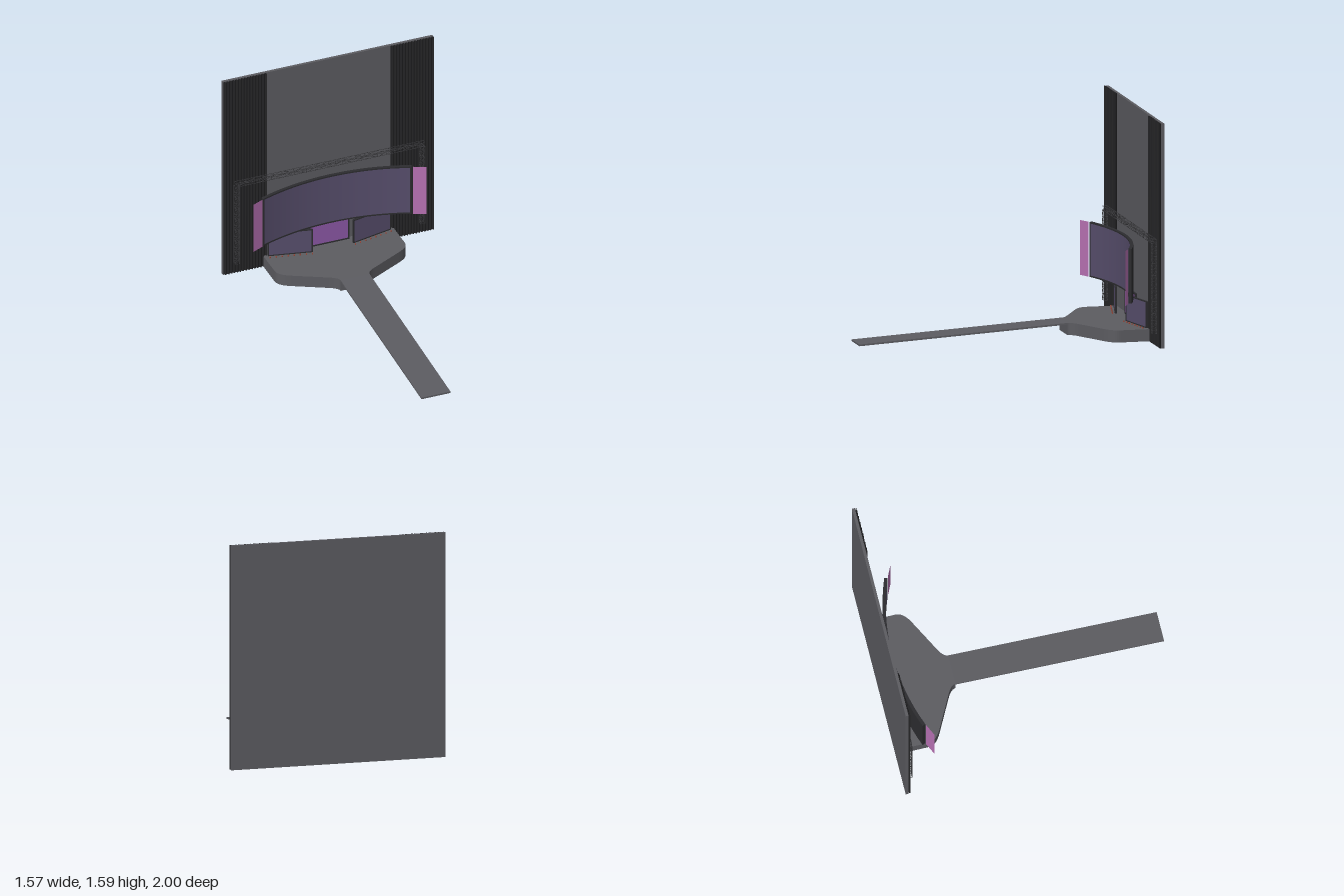
import * as THREE from 'three';
import { mergeGeometries } from 'three/addons/utils/BufferGeometryUtils.js';

const mat = (color, side = THREE.FrontSide) => new THREE.MeshStandardMaterial({ color, side });
const floorMat = mat(0x5c5c61), wallMat = mat(0x5c5c61), frameMat = mat(0x2c2c2f), trussMat = mat(0x3a3a3d);
const curtainMat = mat(0x232325, THREE.DoubleSide);
const screenMat = mat(0x574e6c), centreMat = mat(0x8c58a6), bannerMat = mat(0xb670b2, THREE.DoubleSide);
const lampMat = mat(0x9a4a3c);

function add(parent, name, geometry, material, x = 0, y = 0, z = 0) {
  const mesh = new THREE.Mesh(geometry, material);
  mesh.name = name;
  mesh.position.set(x, y, z);
  parent.add(mesh);
  return mesh;
}

// Plan outline (x, -z) raised from y0 to y1
function raise(shape, y0, y1, segments = 12) {
  return new THREE.ExtrudeGeometry(shape, { depth: y1 - y0, bevelEnabled: false, curveSegments: segments })
    .rotateX(-Math.PI / 2).translate(0, y0, 0);
}

// Curved wall slice between two radii, concave towards the front
function arcSlab(r0, r1, a0, a1, y0, y1) {
  const s = new THREE.Shape();
  s.absarc(0, -0.645, r1, Math.PI / 2 - a1, Math.PI / 2 - a0, false);
  s.absarc(0, -0.645, r0, Math.PI / 2 - a0, Math.PI / 2 - a1, true);
  return raise(s, y0, y1, 32);
}

// Flat framed screen, its front at z = 0
function flatScreen(name, w, h, material, border) {
  const g = new THREE.Group();
  g.name = name;
  add(g, 'screenFace', new THREE.BoxGeometry(w - border, h - border, 0.012), material, 0, 0, -0.009);
  for (const s of [-1, 1]) {
    add(g, 'frameSide', new THREE.BoxGeometry(border, h, 0.015), frameMat, s * (w - border) / 2, 0, -0.0075);
    add(g, 'frameRail', new THREE.BoxGeometry(w - 2 * border, border, 0.015), frameMat, 0, s * (h - border) / 2, -0.0075);
  }
  return g;
}

// Thin tube between two points
function strut(a, b, r) {
  const d = b.clone().sub(a);
  const q = new THREE.Quaternion().setFromUnitVectors(new THREE.Vector3(0, 1, 0), d.clone().normalize());
  const m = new THREE.Matrix4().compose(a.clone().add(b).multiplyScalar(0.5), q, new THREE.Vector3(1, 1, 1));
  return new THREE.CylinderGeometry(r, r, d.length(), 5).applyMatrix4(m);
}

// Square lattice truss along +y, starting at the origin
function truss(length, size, bays) {
  const parts = [], h = size / 2, step = length / bays;
  const corners = [[-h, -h], [h, -h], [h, h], [-h, h]];
  const at = (c, y) => new THREE.Vector3(corners[c % 4][0], y, corners[c % 4][1]);
  for (let c = 0; c < 4; c++) {
    parts.push(strut(at(c, 0), at(c, length), 0.0018));
    for (let i = 0; i <= bays; i++) {
      parts.push(strut(at(c, i * step), at(c + 1, i * step), 0.001));
      if (i === bays) continue;
      const flip = i % 2;
      parts.push(strut(at(c + flip, i * step), at(c + 1 - flip, (i + 1) * step), 0.001));
      if (c % 2 === 0) parts.push(strut(at(c + 1 - flip, i * step), at(c + flip, (i + 1) * step), 0.001));
    }
  }
  return mergeGeometries(parts);
}

export function createModel() {
  const model = new THREE.Group();
  model.name = 'stage';

  // Back wall and pleated side curtains
  add(model, 'backWall', new THREE.BoxGeometry(1.57, 1.575, 0.02), wallMat, 0, 0.8025, -0.99);
  for (const s of [-1, 1]) {
    const g = new THREE.PlaneGeometry(0.325, 1.575, 120, 1);
    const p = g.attributes.position;
    for (let i = 0; i < p.count; i++) {
      p.setZ(i, 0.006 * Math.cos((p.getX(i) / 0.325 + 0.5) * Math.PI * 30));
    }
    g.computeVertexNormals();
    add(model, 'curtain', g, curtainMat, s * 0.6225, 0.8025, -0.973);
  }

  // Platform with flowing front outline
  const plan = new THREE.Shape();
  plan.moveTo(0.485, 0.98);
  plan.lineTo(-0.485, 0.98);
  plan.lineTo(-0.485, 0.765);
  plan.bezierCurveTo(-0.485, 0.715, -0.44, 0.685, -0.39, 0.66);
  plan.lineTo(-0.17, 0.546);
  plan.bezierCurveTo(-0.13, 0.525, -0.108, 0.505, -0.108, 0.48);
  plan.lineTo(0.108, 0.48);
  plan.bezierCurveTo(0.108, 0.505, 0.13, 0.525, 0.17, 0.546);
  plan.lineTo(0.39, 0.66);
  plan.bezierCurveTo(0.44, 0.685, 0.485, 0.715, 0.485, 0.765);
  plan.closePath();
  add(model, 'platform', raise(plan, 0.015, 0.1), floorMat);

  // Long sloping runway: side profile (z, y) extruded across x
  const slope = new THREE.Shape([[1, 0], [1, 0.012], [-0.48, 0.1], [-0.48, 0.088]].map(([z, y]) => new THREE.Vector2(-z, y)));
  add(model, 'runway', new THREE.ExtrudeGeometry(slope, { depth: 0.216, bevelEnabled: false })
    .translate(0, 0, -0.108).rotateY(Math.PI / 2), floorMat);

  // Curved upper screen and its frame
  const half = 0.364, b = 0.007;
  const upper = new THREE.Group();
  upper.name = 'upperScreen';
  model.add(upper);
  add(upper, 'curvedFace', arcSlab(1.553, 1.56, -half + b, half - b, 0.305, 0.675), screenMat);
  add(upper, 'curvedBack', arcSlab(1.56, 1.573, -half, half, 0.297, 0.682), frameMat);
  for (const y of [0.297, 0.672]) add(upper, 'curvedRail', arcSlab(1.55, 1.56, -half, half, y, y + 0.01), frameMat);
  for (const s of [-1, 1]) {
    const a = s * (half - b / 2);
    add(upper, 'curvedEndFrame', arcSlab(1.55, 1.56, a - b / 2, a + b / 2, 0.307, 0.672), frameMat);
    // Angled banner beside the screen
    const banner = add(model, 'sideBanner', new THREE.PlaneGeometry(0.094, 0.385), bannerMat, s * 0.602, 0.4895, -0.78);
    banner.rotation.y = -s * 0.44;
  }

  // Lower screens: recessed centre, angled wings
  const centre = flatScreen('centreScreen', 0.3, 0.19, centreMat, 0.01);
  centre.position.set(0, 0.197, -0.952);
  model.add(centre);
  for (const s of [-1, 1]) {
    const wing = flatScreen('wingScreen', 0.314, 0.186, screenMat, 0.007);
    wing.position.set(s * 0.305, 0.197, -0.918);
    wing.rotation.y = s * 0.215;
    model.add(wing);
    // Footlights in front of each wing
    for (let i = 0; i < 8; i++) {
      const x = 0.16 + i * 0.0415;
      add(model, 'footlight', new THREE.CylinderGeometry(0.005, 0.005, 0.01, 8), lampMat, s * x, 0.105, -0.87 - (x - 0.16) * 0.21);
    }
  }

  // Lighting truss arch
  const gantry = new THREE.Group();
  gantry.name = 'trussArch';
  model.add(gantry);
  for (const s of [-1, 1]) add(gantry, 'trussLeg', truss(0.63, 0.032, 14), trussMat, s * 0.69, 0.105, -0.951);
  const beam = add(gantry, 'trussBeam', truss(1.412, 0.03, 16), trussMat, 0.706, 0.75, -0.951);
  beam.rotation.z = Math.PI / 2;

  return model;
}
